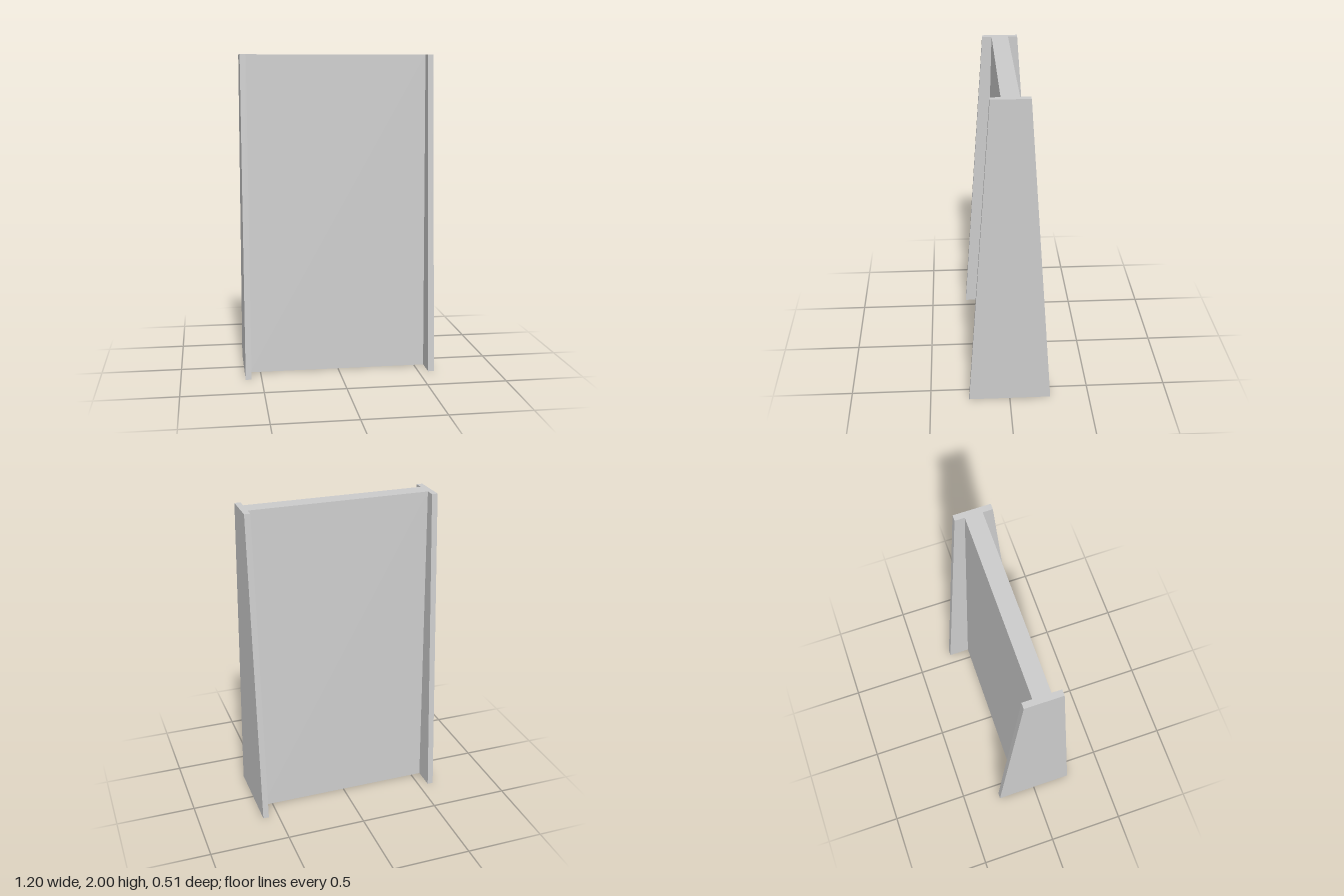
import * as THREE from 'three';

const HEIGHT = 2;
const material = new THREE.MeshStandardMaterial({ color: 0xcccccc, flatShading: true });

// Slab tapering from bottom to top in z, extruded along x and centred on x
function taperedSlab(name, bottomHalf, topHalf, width, x) {
  const profile = new THREE.Shape([
    new THREE.Vector2(-bottomHalf, 0),
    new THREE.Vector2(bottomHalf, 0),
    new THREE.Vector2(topHalf, HEIGHT),
    new THREE.Vector2(-topHalf, HEIGHT),
  ]);
  const geometry = new THREE.ExtrudeGeometry(profile, { depth: width, bevelEnabled: false });
  geometry.translate(0, 0, -width / 2).rotateY(Math.PI / 2);
  const mesh = new THREE.Mesh(geometry, material);
  mesh.name = name;
  mesh.position.x = x;
  return mesh;
}

export function createModel() {
  const group = new THREE.Group();
  group.name = 'taperedPillar';
  const halfWidth = 0.6, plate = 0.037;

  // Central wall between the side plates
  group.add(taperedSlab('wall', 0.117, 0.053, 2 * (halfWidth - plate), 0));

  // Wider side plates, mirrored
  for (const [name, side] of [['leftPlate', 1], ['rightPlate', -1]]) {
    group.add(taperedSlab(name, 0.257, 0.113, plate, side * (halfWidth - plate / 2)));
  }
  return group;
}
